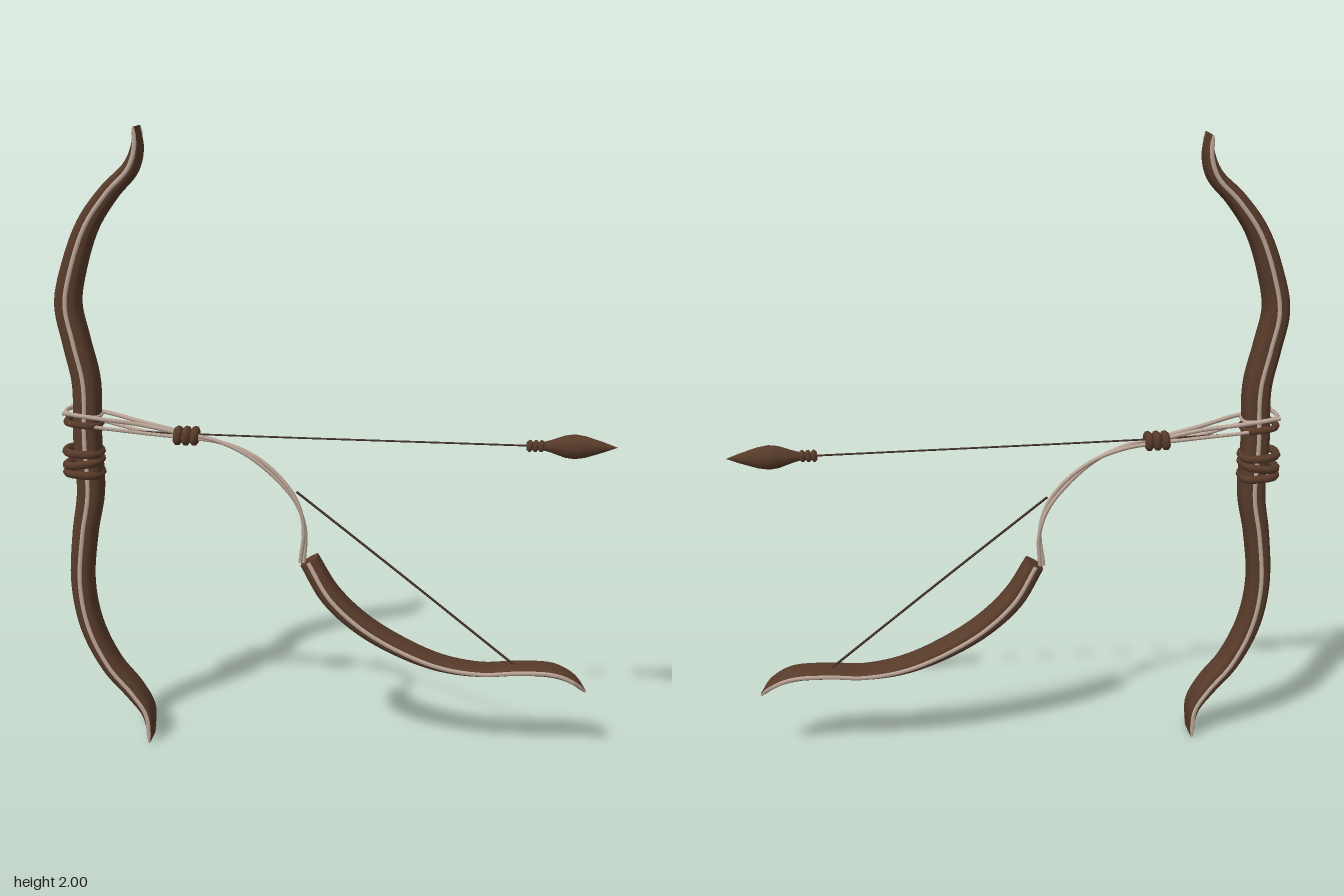
import * as THREE from 'three';

const mat = (name, color) => {
  const m = new THREE.MeshStandardMaterial({ color });
  m.name = name;
  return m;
};
const wood = mat('brown wood', 0x583b2a);
const pale = mat('pale cord', 0xbca698);
const dark = mat('dark string', 0x44342b);

const V = (x, y, z = 0) => new THREE.Vector3(x, y, z);

// Sweeps a rounded-box section along a path of [x, y, halfThickness, halfDepth]
function sweep(path, { t = 1, d, zSide = 0, steps = 110, sides = 20, power = 0.62 } = {}) {
  const curve = new THREE.CatmullRomCurve3(path.map(p => V(p[0], p[1], p[2])), false, 'centripetal');
  const pos = [], idx = [];
  const last = path.length - 1;
  const rounded = v => Math.sign(v) * Math.abs(v) ** power;
  const ring = i => {
    const u = i / steps, p = curve.getPoint(u), tan = curve.getTangent(u);
    tan.z = 0;
    tan.normalize();
    const k = Math.min(Math.floor(u * last), last - 1);
    const depth = THREE.MathUtils.lerp(path[k][3], path[k + 1][3], u * last - k);
    const ht = Math.min(t, p.z), hd = d ?? depth;
    for (let j = 0; j < sides; j++) {
      const a = j / sides * Math.PI * 2;
      const n = ht * rounded(Math.cos(a));
      pos.push(p.x - tan.y * n, p.y + tan.x * n, zSide * depth + hd * rounded(Math.sin(a)));
    }
  };
  for (let i = 0; i <= steps; i++) ring(i);
  for (let i = 0; i < steps; i++) for (let j = 0; j < sides; j++) {
    const a = i * sides + j, b = i * sides + (j + 1) % sides;
    idx.push(a, b, b + sides, a, b + sides, a + sides);
  }
  // End caps on their own vertices
  for (const i of [0, steps]) {
    const s = pos.length / 3;
    ring(i);
    for (let j = 1; j < sides - 1; j++) idx.push(s, ...(i ? [s + j, s + j + 1] : [s + j + 1, s + j]));
  }
  const g = new THREE.BufferGeometry();
  g.setAttribute('position', new THREE.Float32BufferAttribute(pos, 3));
  g.setIndex(idx);
  g.computeVertexNormals();
  return g;
}

// Centre lines: x, y, half thickness, half depth
const bowPath = [
  [-0.611, 2.0, 0.003, 0.05], [-0.61, 1.936, 0.016, 0.05], [-0.632, 1.873, 0.025, 0.05],
  [-0.70, 1.80, 0.03, 0.05], [-0.77, 1.70, 0.034, 0.05], [-0.82, 1.565, 0.038, 0.05],
  [-0.842, 1.45, 0.041, 0.05], [-0.82, 1.33, 0.042, 0.05], [-0.793, 1.20, 0.043, 0.05],
  [-0.795, 1.02, 0.043, 0.05], [-0.79, 0.84, 0.042, 0.05], [-0.812, 0.705, 0.039, 0.05],
  [-0.825, 0.535, 0.036, 0.05], [-0.80, 0.387, 0.034, 0.05], [-0.737, 0.255, 0.031, 0.05],
  [-0.663, 0.165, 0.028, 0.05], [-0.62, 0.095, 0.019, 0.05], [-0.611, 0.0, 0.003, 0.05],
];
const limbPath = [
  [-0.084, 0.63, 0.032, 0.038], [-0.016, 0.515, 0.033, 0.048], [0.084, 0.42, 0.03, 0.05],
  [0.21, 0.345, 0.026, 0.05], [0.342, 0.294, 0.02, 0.05], [0.474, 0.276, 0.014, 0.05],
  [0.59, 0.284, 0.014, 0.05], [0.705, 0.28, 0.015, 0.046], [0.768, 0.252, 0.011, 0.034],
  [0.808, 0.212, 0.003, 0.004],
];

export function createModel() {
  const model = new THREE.Group();
  const add = (name, geo, material) => {
    const m = new THREE.Mesh(geo, material);
    m.name = name;
    model.add(m);
    return m;
  };
  const cord = (name, pts, r, material, closed = false, seg = 60) => add(name,
    new THREE.TubeGeometry(new THREE.CatmullRomCurve3(pts, closed), seg, r, 7, closed), material);
  // Closed loop round a part; axis 'y' for the bow, 'x' for the shaft
  const loop = (name, axis, c, ra, rb, r, tilt, material) => {
    const pts = [];
    for (let i = 0; i < 16; i++) {
      const a = i / 16 * Math.PI * 2;
      const p = Math.sign(Math.cos(a)) * Math.abs(Math.cos(a)) ** 0.7 * ra;
      const q = Math.sign(Math.sin(a)) * Math.abs(Math.sin(a)) ** 0.7 * rb;
      pts.push(axis === 'y' ? V(c.x + p, c.y + p * tilt, q) : V(c.x + p * tilt, c.y + p, q));
    }
    return cord(name, pts, r, material, true, 48);
  };

  // Bow and broken limb, each with a pale inlay along both sides
  for (const [name, path] of [['bow', bowPath], ['brokenLimb', limbPath]]) {
    add(name, sweep(path), wood);
    for (const s of [-1, 1])
      add(name + 'Inlay', sweep(path, { t: 0.007, d: 0.0045, zSide: s, sides: 8, power: 0.7 }), pale);
  }

  // Grip wrapping below and lashing above
  [0.975, 0.94, 0.907].forEach((y, i) =>
    loop('gripWrap', 'y', V(-0.808, y), 0.054, 0.056, 0.013, i % 2 ? 0.12 : -0.08, wood));
  loop('lashing', 'y', V(-0.805, 1.07), 0.052, 0.055, 0.011, -0.12, wood);
  loop('lashingCord', 'y', V(-0.805, 1.1), 0.054, 0.056, 0.007, -0.14, pale);

  // Cords running from the lashing to the knot
  for (const s of [-1, 1]) {
    cord('upperCord', [V(-0.86, 1.108, s * 0.055), V(-0.74, 1.09, s * 0.05), V(-0.62, 1.068, s * 0.02),
      V(-0.47, 1.035, s * 0.01)], 0.007, pale);
    cord('lowerCord', [V(-0.84, 1.075, s * 0.055), V(-0.74, 1.06, s * 0.045), V(-0.62, 1.04, s * 0.015),
      V(-0.47, 1.025, s * 0.008)], 0.006, pale);
  }

  // Two loosely twisted strands from the knot down to the cut end
  const hang = new THREE.CatmullRomCurve3([V(-0.5, 1.033), V(-0.38, 1.015), V(-0.28, 0.975), V(-0.19, 0.905),
    V(-0.125, 0.82), V(-0.1, 0.73), V(-0.108, 0.62)]);
  for (const phase of [0, Math.PI]) {
    const pts = [];
    for (let i = 0; i <= 24; i++) {
      const u = i / 24, p = hang.getPointAt(u), t = hang.getTangentAt(u), a = phase + u * 6;
      const n = 0.006 * Math.cos(a);
      pts.push(V(p.x - t.y * n, p.y + t.x * n, 0.006 * Math.sin(a)));
    }
    cord('hangingStrand', pts, 0.0065, pale, false, 110);
  }

  // Knot
  for (const x of [-0.502, -0.475, -0.448])
    loop('knotWrap', 'x', V(x, 1.031), 0.018, 0.02, 0.0135, 0.1, wood);

  // Thin straight strings
  cord('arrowShaft', [V(-0.76, 1.045), V(-0.47, 1.037), V(0.62, 1.022)], 0.003, dark);
  cord('limbString', [V(-0.125, 0.855), V(0.22, 0.582), V(0.575, 0.297)], 0.004, dark);

  // Arrowhead with bound socket
  const profile = [[0, 0.6], [0.013, 0.6], [0.013, 0.65], [0.02, 0.675], [0.036, 0.72], [0.04, 0.75],
    [0.034, 0.785], [0.016, 0.84], [0, 0.882]].map(([r, y]) => new THREE.Vector2(r, y));
  const head = add('arrowhead', new THREE.LatheGeometry(profile, 12), wood);
  head.rotation.z = -Math.PI / 2;
  head.scale.z = 0.85;
  head.position.y = 1.022;
  for (const x of [0.61, 0.628, 0.646])
    loop('socketBinding', 'x', V(x, 1.022), 0.011, 0.011, 0.008, 0.1, wood);

  return model;
}
